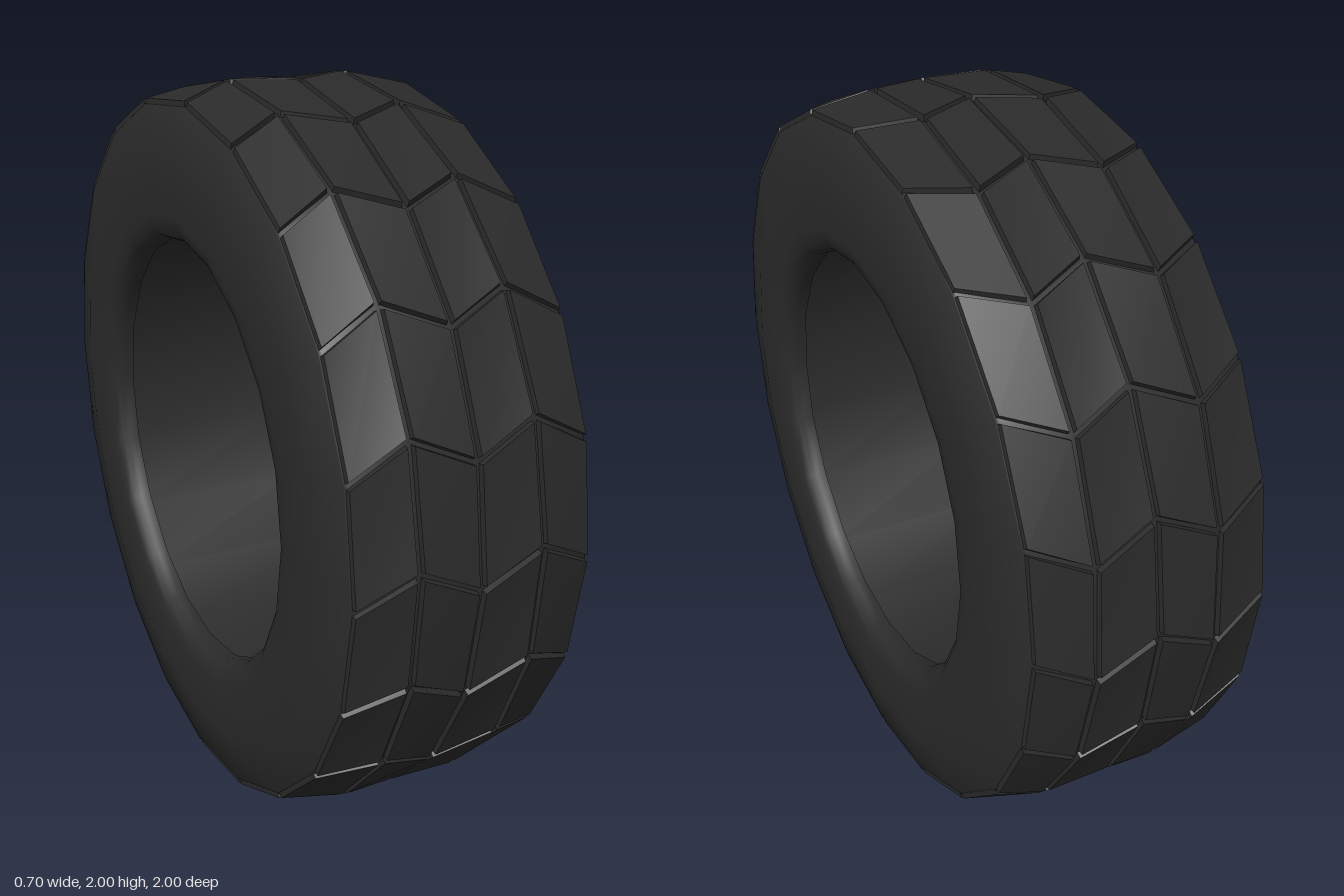
import * as THREE from 'three';
import { mergeGeometries, toCreasedNormals } from 'three/addons/utils/BufferGeometryUtils.js';

const SIDES = 20;
const STEP = (Math.PI * 2) / SIDES;
const RIB = 0.165;      // x of the side grooves
const SHOULDER = 0.312; // x where the tread ends

// Crown radius across the tread: flat in the middle, falling to the shoulders
const crown = (x) => 1 - 0.033 * Math.max(0, (Math.abs(x) - RIB) / (SHOULDER - RIB));

// Angular offset that makes the chevron pattern
function chevron(x) {
  const d = Math.abs(x);
  return 0.08 * Math.max(0, d < RIB ? d / RIB : (SHOULDER - d) / (SHOULDER - RIB)) - 0.014;
}

const onWheel = (x, r, a) => [x, r * Math.sin(a), r * Math.cos(a)];

// Hollow carcass: closed profile turned about the axle, with rounded bead lips
function carcass() {
  const half = [ // [x, radius] from the crown out to the bead and inside
    [RIB, 0.985], [SHOULDER, 0.956], [0.319, 0.95], [0.348, 0.8], [0.347, 0.66],
    [0.34, 0.625], [0.325, 0.604], [0.305, 0.595], [0.278, 0.594], [0.278, 0.7],
  ];
  const points = [
    ...half.map(([x, r]) => [-x, r]).reverse(),
    [0, 0.985], ...half, [-0.278, 0.7],
  ].map(([x, r]) => new THREE.Vector2(r, x));
  const geometry = new THREE.LatheGeometry(points, SIDES).rotateZ(-Math.PI / 2);
  const p = geometry.attributes.position;
  for (let i = 0; i < p.count; i++) {
    const x = p.getX(i), y = p.getY(i), z = p.getZ(i);
    if (Math.hypot(y, z) < 0.9) continue;
    const s = chevron(x);
    p.setXYZ(i, x, y * Math.cos(s) + z * Math.sin(s), z * Math.cos(s) - y * Math.sin(s));
  }
  return toCreasedNormals(geometry, 0.8);
}

// One slanted, bevelled tread block between xa and xb
function block(xa, xb, start) {
  const level = (drop, grow, gap) => [[xa - grow, 0], [xb + grow, 0], [xb + grow, 1], [xa - grow, 1]]
    .map(([x, end]) => onWheel(x, crown(x) - drop,
      start + chevron(x) + (end ? STEP - gap : gap)));
  const top = level(0, 0, 0.01);
  const low = level(0.025, 0.003, 0.004);
  const tris = [];
  const quad = (a, b, c, d) => tris.push(...a, ...b, ...c, ...a, ...c, ...d);
  quad(...top);
  for (let i = 0; i < 4; i++) {
    const j = (i + 1) % 4;
    quad(low[i], low[j], top[j], top[i]);
  }
  const geometry = new THREE.BufferGeometry();
  geometry.setAttribute('position', new THREE.Float32BufferAttribute(tris, 3));
  return toCreasedNormals(geometry, 0.4);
}

export function createModel() {
  const model = new THREE.Group();
  model.name = 'tire';
  const rubber = new THREE.MeshStandardMaterial({ color: 0x2b2b2b });

  const add = (geometry, name) => {
    const mesh = new THREE.Mesh(geometry, rubber);
    mesh.name = name;
    mesh.position.y = 1;
    model.add(mesh);
  };

  add(carcass(), 'carcass');

  // Four rows of tread blocks around the crown
  const rows = {
    rightShoulderTread: [-0.314, -0.174],
    rightCentreTread: [-0.156, -0.009],
    leftCentreTread: [0.009, 0.156],
    leftShoulderTread: [0.174, 0.314],
  };
  for (const [name, [xa, xb]] of Object.entries(rows)) {
    const blocks = Array.from({ length: SIDES }, (_, i) => block(xa, xb, i * STEP));
    add(mergeGeometries(blocks), name);
  }
  return model;
}
